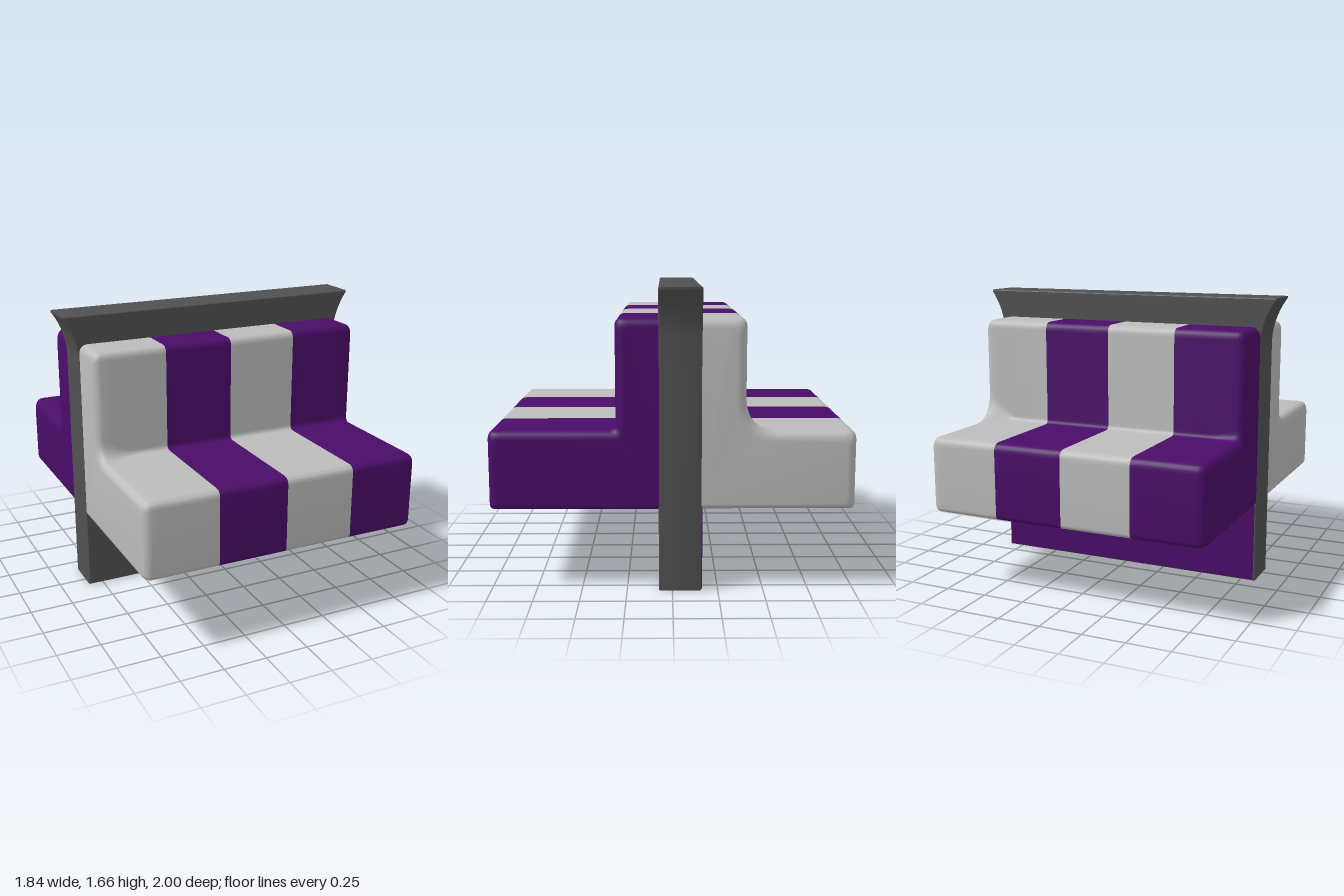
import * as THREE from 'three';
import { toCreasedNormals } from 'three/addons/utils/BufferGeometryUtils.js';

const HALF = 0.833;
const SEAMS = [-HALF, -0.405, 0, 0.41, HALF];
const ARC = 6;

// Rounded L-shaped section (x = depth, y = height); inset d pulls in the outer edges
function section(s, d, fillet) {
  const r = s.round;
  const c = [
    [s.start, 0.455 + d * 0.6, 0], [1 - d, 0.455 + d * 0.6, 0.03], [1 - d, 0.892 - d, r],
    [s.back - d, 0.892 - d, fillet], [s.back - d, 1.5 - d, r], [s.start, 1.5 - d, 0],
  ].map(([x, y, rad]) => ({ p: new THREE.Vector2(x, y), rad }));
  const out = [];
  c.forEach(({ p, rad }, i) => {
    if (!rad) return out.push(p);
    const toward = (q) => p.clone().add(q.clone().sub(p).setLength(rad));
    const curve = new THREE.QuadraticBezierCurve(toward(c[i - 1].p), p, toward(c[i + 1].p));
    out.push(...curve.getPoints(ARC));
  });
  return out;
}

// One upholstery stripe, lofted along x; the outermost stripes get rounded, capped ends
function stripeGeometry(s, x0, x1) {
  const stations = [];
  const first = x0 === -HALF, last = x1 === HALF;
  const a = first ? x0 + s.edge : x0, b = last ? x1 - s.edge : x1;
  for (let i = 0; i < ARC && first; i++) {
    const t = (i / ARC) * Math.PI / 2;
    stations.push([a - s.edge * Math.cos(t), s.edge * (1 - Math.sin(t))]);
  }
  for (let i = 0; i <= 8; i++) stations.push([a + (b - a) * i / 8, 0]);
  for (let i = ARC - 1; i >= 0 && last; i--) {
    const t = (i / ARC) * Math.PI / 2;
    stations.push([b + s.edge * Math.cos(t), s.edge * (1 - Math.sin(t))]);
  }

  const pos = [], index = [];
  const rings = stations.map(([x, d]) => {
    const k = THREE.MathUtils.smoothstep(Math.abs(x), HALF - 0.22, HALF);
    const ring = section(s, d, 0.03 + k * ((x < 0 ? s.filletA : s.filletB) - 0.03));
    ring.forEach((p) => pos.push(x, p.y, p.x));
    return ring;
  });
  const n = rings[0].length;
  for (let i = 0; i < rings.length - 1; i++) {
    for (let j = 0; j < n; j++) {
      const k = (j + 1) % n, u = i * n, v = u + n;
      index.push(u + j, v + j, v + k, u + j, v + k, u + k);
    }
  }
  const cap = (i, flip) => {
    for (const [p, q, r] of THREE.ShapeUtils.triangulateShape(rings[i], [])) {
      const o = i * n;
      index.push(o + p, o + (flip ? r : q), o + (flip ? q : r));
    }
  };
  if (first) cap(0, false);
  if (last) cap(rings.length - 1, true);

  const g = new THREE.BufferGeometry();
  g.setAttribute('position', new THREE.Float32BufferAttribute(pos, 3));
  g.setIndex(index);
  return toCreasedNormals(g, 0.7);
}

function bench(name, s, materials) {
  const group = new THREE.Group();
  group.name = name;
  for (let i = 0; i < 4; i++) {
    const mesh = new THREE.Mesh(stripeGeometry(s, SEAMS[i], SEAMS[i + 1]), materials[i % 2]);
    mesh.name = 'stripe' + (i + 1);
    group.add(mesh);
  }
  return group;
}

// Upright divider board whose sides flare out at the top
function dividerGeometry() {
  const w = 0.836, bevel = 0.01;
  const shape = new THREE.Shape();
  shape.moveTo(-w, 0);
  shape.lineTo(w, 0);
  shape.lineTo(w, 1.4);
  shape.quadraticCurveTo(0.842, 1.54, 0.922, 1.652);
  shape.lineTo(0.922, 1.664);
  shape.lineTo(-0.922, 1.664);
  shape.lineTo(-0.922, 1.652);
  shape.quadraticCurveTo(-0.842, 1.54, -w, 1.4);
  shape.closePath();
  const g = new THREE.ExtrudeGeometry(shape, {
    depth: 0.235 - 2 * bevel, curveSegments: 12,
    bevelThickness: bevel, bevelSize: 0.006, bevelOffset: -0.006, bevelSegments: 2,
  });
  g.translate(0, 0, -0.16 + bevel);
  return toCreasedNormals(g, 0.6);
}

export function createModel() {
  const material = (name, color) => {
    const m = new THREE.MeshStandardMaterial({ color });
    m.name = name;
    return m;
  };
  const grey = material('lightGrey', 0xbcbcbc);
  const purple = material('purple', 0x4a0c68);
  const dark = material('darkGrey', 0x515151);

  const model = new THREE.Group();
  model.name = 'doubleSidedBench';

  const divider = new THREE.Mesh(dividerGeometry(), dark);
  divider.name = 'divider';
  model.add(divider);

  // Purple kick panel under the rear seat
  const kick = new THREE.Mesh(new THREE.BoxGeometry(1.65, 0.455, 0.006), purple);
  kick.name = 'rearKickPanel';
  kick.position.set(0, 0.235, -0.161);
  model.add(kick);

  model.add(bench('frontBench',
    { start: 0.07, back: 0.308, round: 0.045, edge: 0.045, filletA: 0.12, filletB: 0.04 }, [grey, purple]));

  const rear = bench('rearBench',
    { start: 0.155, back: 0.4, round: 0.05, edge: 0.055, filletA: 0.2, filletB: 0.06 }, [grey, purple]);
  rear.rotation.y = Math.PI;
  model.add(rear);

  return model;
}
